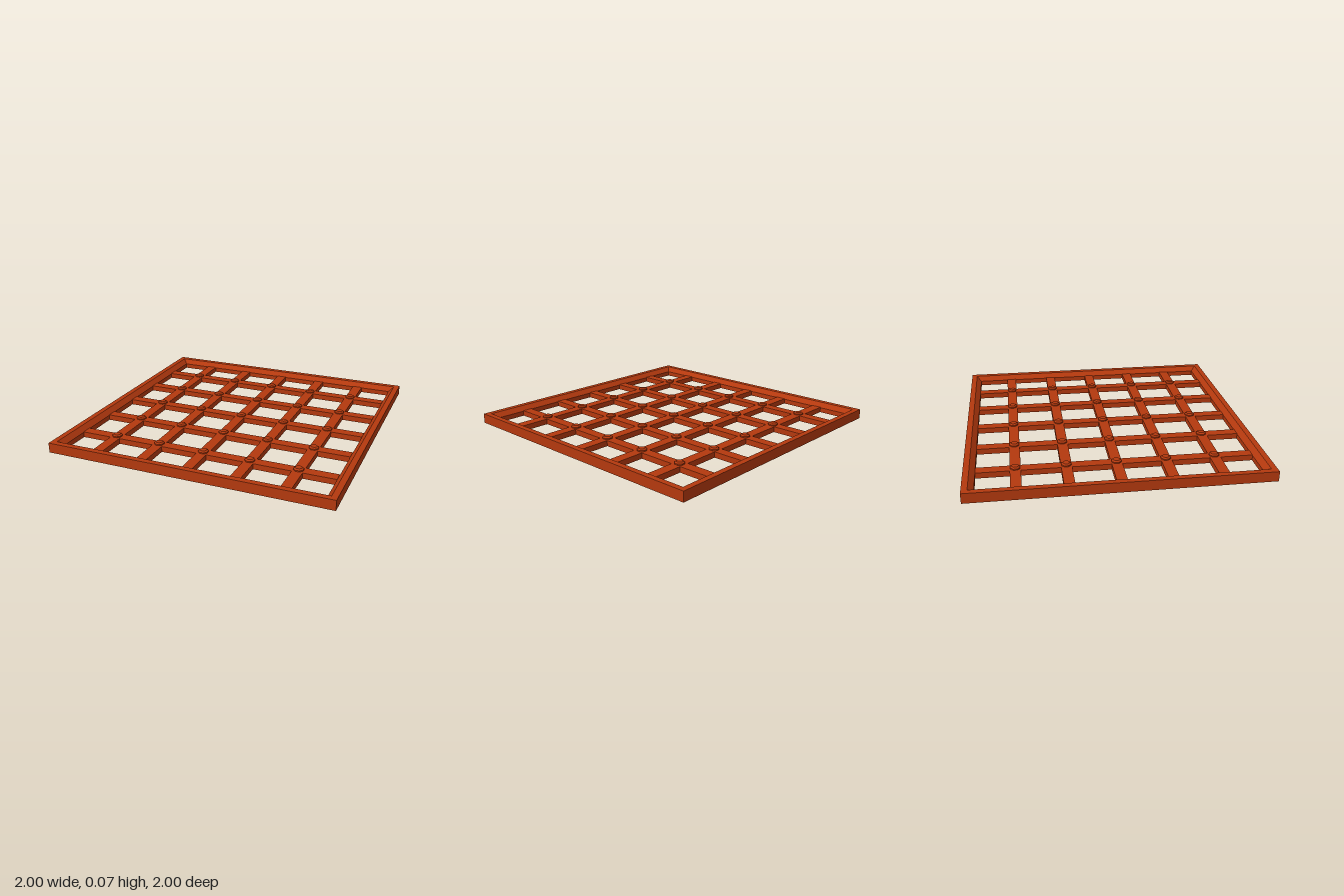
import * as THREE from 'three';

export function createModel() {
  const group = new THREE.Group();
  const rust = new THREE.MeshStandardMaterial({ color: 0xb4390e, flatShading: true });
  rust.name = 'rust red';

  const inner = 0.925, barWidth = 0.072, barTop = 0.04, frameTop = 0.07;
  const centres = [-2, -1, 0, 1, 2].map((i) => i / 3);

  function add(name, geometry, x = 0, y = 0, z = 0) {
    const mesh = new THREE.Mesh(geometry, rust);
    mesh.name = name;
    mesh.position.set(x, y, z);
    group.add(mesh);
  }

  // Mitred square frame with a bevelled inner lip: four-sided lathe
  const profile = [[inner, 0], [1, 0], [1, frameTop], [0.96, frameTop], [inner, barTop - 0.004], [inner, 0]]
    .map(([r, y]) => new THREE.Vector2(r * Math.SQRT2, y));
  add('frame', new THREE.LatheGeometry(profile, 4, Math.PI / 4));

  // Full-length cross bars
  for (const z of centres) {
    add('crossBar', new THREE.BoxGeometry(inner * 2, barTop, barWidth), 0, barTop / 2, z);
  }

  // Long bars, cut into pieces between the cross bars
  const stops = [-inner, ...centres.flatMap((c) => [c - barWidth / 2, c + barWidth / 2]), inner];
  for (const x of centres) {
    for (let i = 0; i < stops.length; i += 2) {
      const length = stops[i + 1] - stops[i];
      add('longBarPiece', new THREE.BoxGeometry(barWidth, barTop, length), x, barTop / 2, stops[i] + length / 2);
    }
  }

  // Faceted rivet on every crossing
  const rivet = new THREE.LatheGeometry(
    [[0.035, 0], [0.035, 0.008], [0.024, 0.017], [0, 0.017]].map(([r, y]) => new THREE.Vector2(r, y)), 8, Math.PI / 8);
  for (const x of centres) for (const z of centres) add('rivet', rivet, x, barTop, z);

  return group;
}
